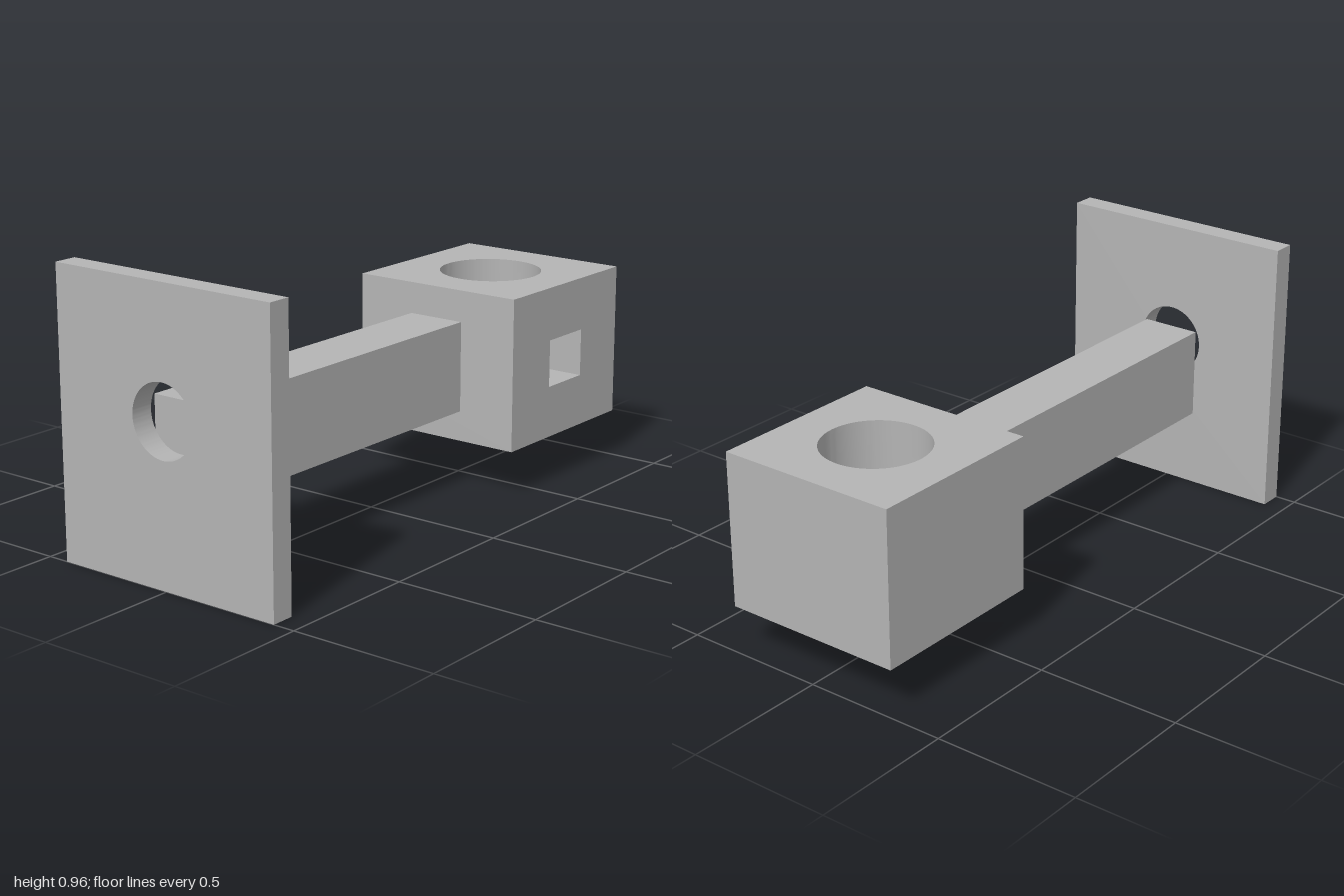
import * as THREE from 'three';
import { toCreasedNormals } from 'three/addons/utils/BufferGeometryUtils.js';

const HALF = 0.32, BORE = 0.178, SLOT = 0.0975; // head half width, bore radius, window half width
const HEAD_Z = -0.68;

const rectangle = (x0, y0, x1, y1) => new THREE.Shape([[x0, y0], [x1, y0], [x1, y1], [x0, y1]]
  .map(([x, y]) => new THREE.Vector2(x, y)));

function addHole(shape, x, y, r) {
  shape.holes.push(new THREE.Path().absarc(x, y, r, 0, Math.PI * 2, true));
  return shape;
}

const extrude = (shape, depth) =>
  new THREE.ExtrudeGeometry(shape, { depth, bevelEnabled: false, curveSegments: 64 });

// Only the side walls of an upright extrusion, without its end caps
function walls(shape, y0, y1) {
  const full = extrude(shape, y1 - y0);
  const { start, count } = full.groups[1];
  const geo = new THREE.BufferGeometry();
  const points = full.attributes.position.array.slice(start * 3, (start + count) * 3);
  geo.setAttribute('position', new THREE.BufferAttribute(points, 3));
  return toCreasedNormals(geo.rotateX(-Math.PI / 2).translate(0, y0, 0), 0.5);
}

// A flat horizontal face, turned up (1) or down (-1)
const face = (shape, y, dir) =>
  new THREE.ShapeGeometry(shape, 64).rotateX(-dir * Math.PI / 2).translate(0, y, 0);

export function createModel() {
  const model = new THREE.Group();
  model.name = 'wallBracket';
  const grey = new THREE.MeshStandardMaterial({ color: 0xb4b4b4 });
  grey.name = 'grey';

  const add = (name, geo, parent = model) => {
    const mesh = new THREE.Mesh(geo, grey);
    mesh.name = name;
    parent.add(mesh);
    return mesh;
  };

  // Mounting plate with a round hole
  const plate = addHole(rectangle(-0.425, 0, 0.425, 0.96), 0, 0.535, 0.121);
  add('mountingPlate', toCreasedNormals(extrude(plate, 0.08), 0.5)).position.z = 0.92;

  // Square arm
  add('arm', new THREE.BoxGeometry(0.21, 0.315, 1.28)).position.set(0, 0.428, 0.28);

  // Head block: vertical bore, with a window from the left side into the bore
  const head = new THREE.Group();
  head.name = 'head';
  head.position.z = HEAD_Z;
  model.add(head);

  const [bottom, sill, lintel, top] = [0.165, 0.345, 0.51, 0.695];
  const ring = addHole(rectangle(-HALF, -HALF, HALF, HALF), 0, 0, BORE);
  const angle = Math.asin(SLOT / BORE);

  // Cross-section at window height, open on one side
  const open = new THREE.Shape();
  open.moveTo(-HALF, -HALF);
  open.lineTo(HALF, -HALF);
  open.lineTo(HALF, -SLOT);
  open.absarc(0, 0, BORE, -angle, angle, true);
  open.lineTo(HALF, SLOT);
  open.lineTo(HALF, HALF);
  open.lineTo(-HALF, HALF);
  open.closePath();

  // Floor outline of the window passage
  const passage = new THREE.Shape();
  passage.moveTo(HALF, -SLOT);
  passage.lineTo(HALF, SLOT);
  passage.absarc(0, 0, BORE, angle, -angle, true);
  passage.closePath();

  add('headTop', face(ring, top, 1), head);
  add('headBottom', face(ring, bottom, -1), head);
  add('headLowerWalls', walls(ring, bottom, sill), head);
  add('headWindowWalls', walls(open, sill, lintel), head);
  add('headUpperWalls', walls(ring, lintel, top), head);
  add('windowSill', face(passage, sill, 1), head);
  add('windowLintel', face(passage, lintel, -1), head);

  return model;
}
